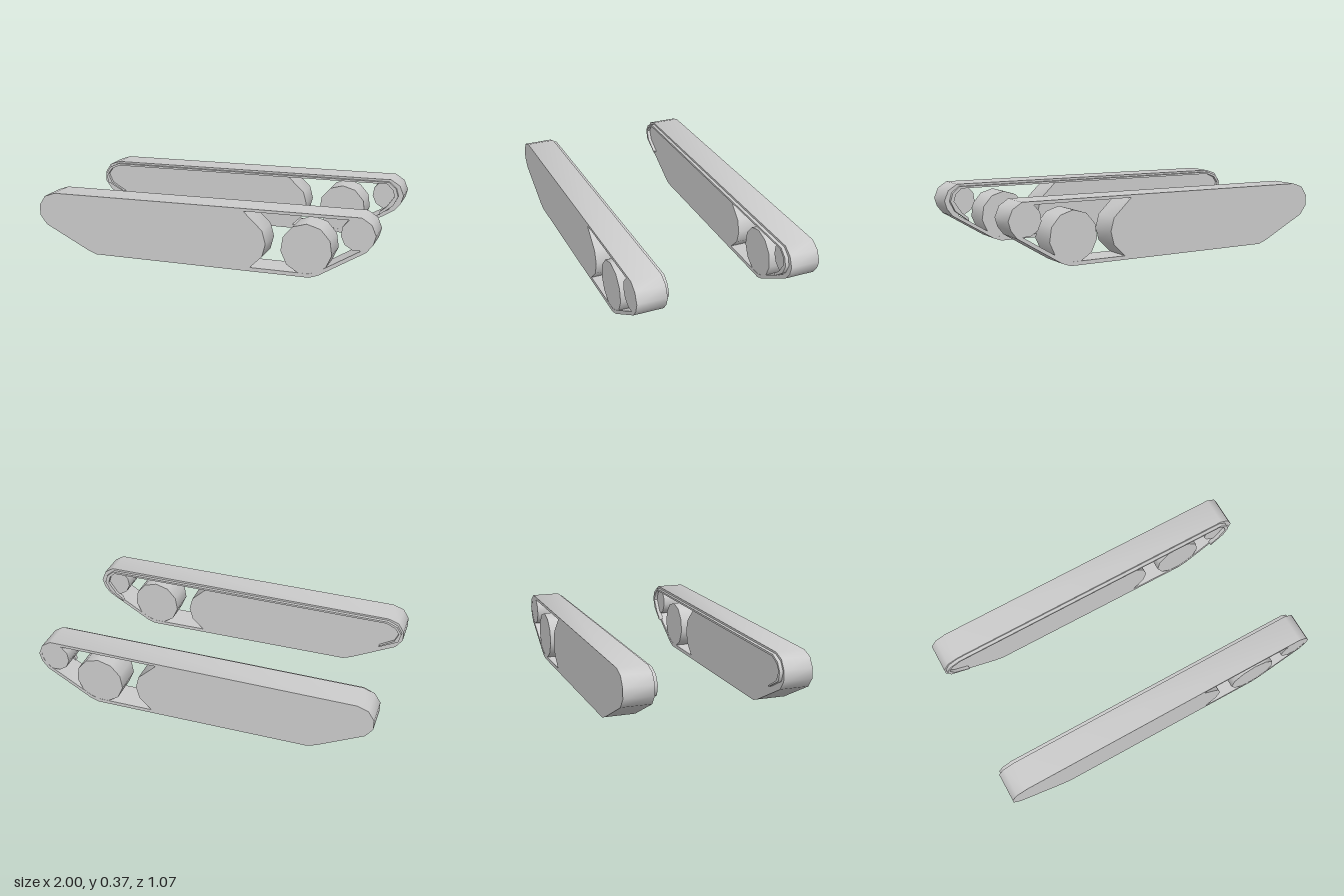
import * as THREE from 'three';
import { toCreasedNormals } from 'three/addons/utils/BufferGeometryUtils.js';

const material = new THREE.MeshStandardMaterial({ color: 0xcccccc });
const points = (list) => list.map(([x, y]) => new THREE.Vector2(x, y));

// Side outline of the belt, counter-clockwise from the rear bottom
const beltOutline = [
  [-0.64, 0], [0.64, 0], [0.69, 0.018], [0.95, 0.175], [0.985, 0.22], [1, 0.27],
  [0.975, 0.33], [0.92, 0.365], [-0.9, 0.348], [-0.965, 0.325], [-1, 0.27],
  [-1, 0.21], [-0.96, 0.155], [-0.69, 0.018],
];
// Opening round the front wheels; its rear edge follows a rounded hull end
const opening = [
  [0.26, 0.343], [0.37, 0.24], [0.39, 0.165], [0.37, 0.09], [0.3, 0.022],
  [0.635, 0.022], [0.68, 0.036], [0.935, 0.19], [0.97, 0.23], [0.983, 0.27],
  [0.96, 0.318], [0.915, 0.347],
];
// Narrow rim that runs over the top of the belt and hooks under at both ends
const rimOutline = [
  [0.855, 0.14], [0.94, 0.205], [0.97, 0.265], [0.955, 0.315], [0.91, 0.352],
  [-0.9, 0.337], [-0.96, 0.31], [-0.99, 0.262], [-0.975, 0.205], [-0.86, 0.145],
  [-0.86, 0.153], [-0.95, 0.205], [-0.975, 0.262], [-0.948, 0.3], [-0.893, 0.325],
  [0.9, 0.34], [0.935, 0.308], [0.948, 0.265], [0.9, 0.195], [0.86, 0.163],
];

function addMesh(group, name, geometry) {
  const mesh = new THREE.Mesh(geometry, material);
  mesh.name = name;
  group.add(mesh);
  return mesh;
}

// Extrude a side outline between two z planes
function slab(outline, z0, z1, hole) {
  const shape = new THREE.Shape(points(outline));
  if (hole) shape.holes.push(new THREE.Path(points(hole)));
  const geometry = new THREE.ExtrudeGeometry(shape, { depth: z1 - z0, bevelEnabled: false });
  geometry.translate(0, 0, z0);
  return toCreasedNormals(geometry, 0.85);
}

function addWheel(group, name, x, y, radius, sides, z0, z1) {
  const geometry = new THREE.CylinderGeometry(radius, radius, z1 - z0, sides);
  geometry.rotateX(Math.PI / 2);
  // Put one corner at the top
  geometry.rotateZ(Math.PI);
  addMesh(group, name, geometry).position.set(x, y, (z0 + z1) / 2);
}

function createTrack(side) {
  const track = new THREE.Group();
  track.name = side > 0 ? 'nearTrack' : 'farTrack';
  const span = (a, b) => (side > 0 ? [a, b] : [-b, -a]);
  const [b0, b1] = span(0.363, 0.534);
  const [r0, r1] = span(0.343, 0.37);

  addMesh(track, 'beltAndHull', slab(beltOutline, b0, b1, opening));
  addMesh(track, 'innerRim', slab(rimOutline, r0, r1));
  addWheel(track, 'roadWheel', 0.62, 0.158, 0.145, 11, b0 + 0.001, b1 - 0.001);
  addWheel(track, 'frontIdler', 0.9, 0.268, 0.091, 11, b0 + 0.001, b1 - 0.001);
  return track;
}

export function createModel() {
  const model = new THREE.Group();
  model.name = 'trackPair';
  for (const side of [1, -1]) model.add(createTrack(side));
  return model;
}
